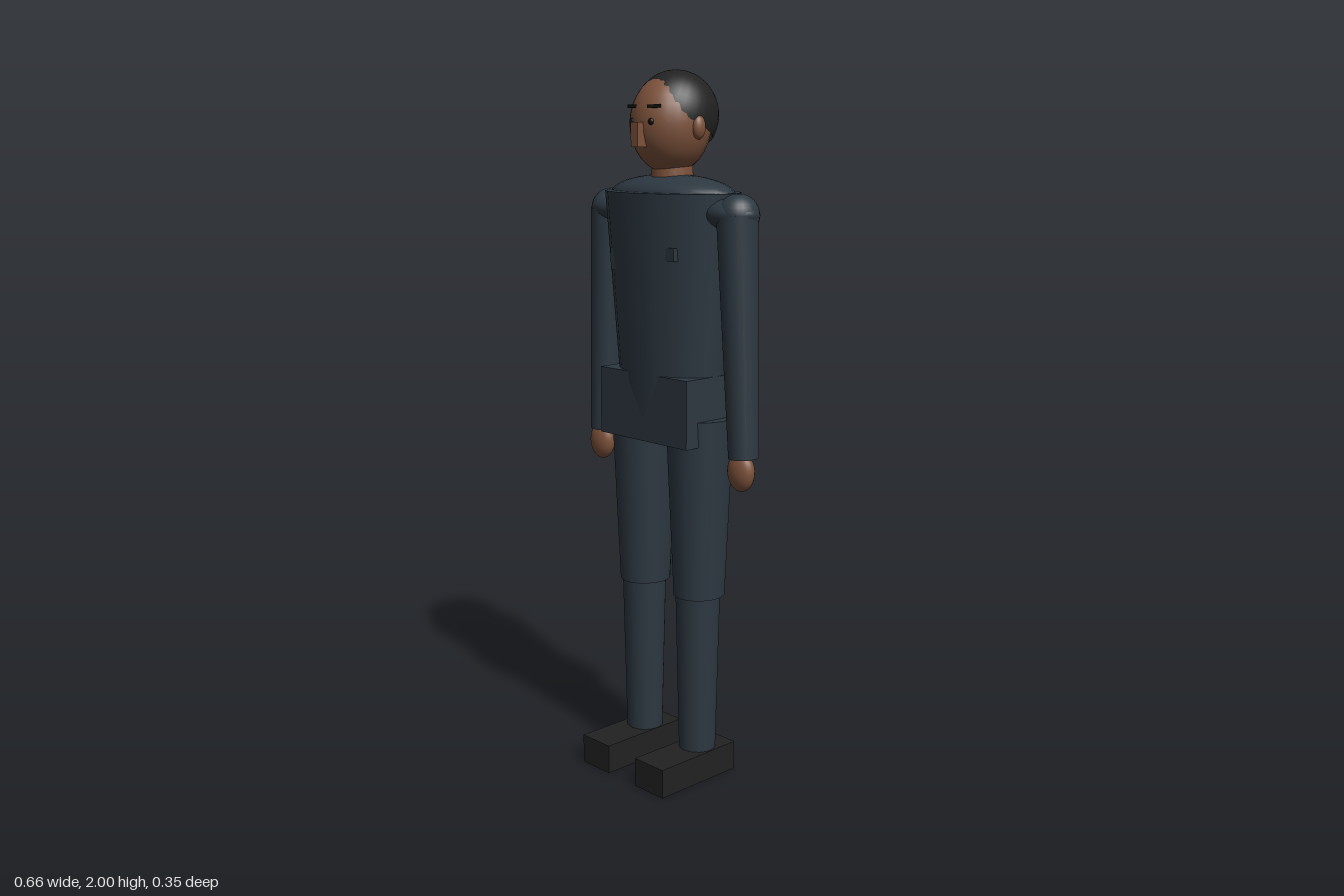
import * as THREE from 'three';

const material = (name, color) => {
  const m = new THREE.MeshStandardMaterial({ color });
  m.name = name;
  return m;
};

export function createModel() {
  const cloth = material('navy cloth', 0x2d3841);
  const skin = material('brown skin', 0x7d523b);
  const black = material('black hair and shoes', 0x222222);
  const ink = material('dark features', 0x141210);
  black.side = THREE.DoubleSide; // the hair cap is an open shell

  const model = new THREE.Group();
  model.name = 'standingFigure';

  const add = (name, geometry, mat, x, y, z, parent = model) => {
    const mesh = new THREE.Mesh(geometry, mat);
    mesh.name = name;
    mesh.position.set(x, y, z);
    parent.add(mesh);
    return mesh;
  };
  const box = (w, h, d) => new THREE.BoxGeometry(w, h, d);
  const ball = (rx, ry, rz) => new THREE.SphereGeometry(1, 24, 16).scale(rx, ry, rz);
  const taper = (top, bottom, height, depth = 1) =>
    new THREE.CylinderGeometry(top, bottom, height, 20).scale(1, 1, depth);

  const Z = -0.024; // body axis

  // Torso, shoulder dome and hips
  add('torso', taper(0.22, 0.165, 0.625, 0.69), cloth, 0, 1.3625, Z);
  add('shoulderDome', ball(0.217, 0.055, 0.117), cloth, 0, 1.667, Z);
  add('hips', box(0.35, 0.19, 0.227), cloth, 0, 1.085, -0.0235);

  // Chest details
  add('chestBadge', box(0.035, 0.035, 0.02), cloth, 0.115, 1.515, 0.088);
  add('chestPocket', box(0.03, 0.06, 0.02), cloth, -0.11, 1.49, 0.083);

  // Head
  add('neck', taper(0.055, 0.06, 0.1), skin, 0, 1.74, Z);
  add('head', ball(0.108, 0.134, 0.115), skin, 0, 1.856, -0.017);
  add('nose', box(0.027, 0.065, 0.045), skin, 0, 1.828, 0.094);

  // Hair: a partial sphere tipped backwards
  const cap = new THREE.SphereGeometry(0.121, 32, 16, 0, Math.PI * 2, 0, 1.81);
  cap.rotateX(-0.43).scale(0.94, 1, 1);
  add('hair', cap, black, 0, 1.879, -0.038);

  for (const s of [-1, 1]) {
    const side = s > 0 ? 'left' : 'right';

    // Face
    add(`${side}Eye`, ball(0.009, 0.009, 0.006), ink, s * 0.037, 1.862, 0.09);
    const brow = add(`${side}Eyebrow`, box(0.038, 0.009, 0.009), ink, s * 0.042, 1.902, 0.083);
    brow.rotation.y = s * 0.2;
    add(`${side}Ear`, ball(0.017, 0.032, 0.021), skin, s * 0.106, 1.847, -0.02);

    // Arm: shoulder ball, tapered sleeve and hand
    const arm = new THREE.Group();
    arm.name = `${side}Arm`;
    model.add(arm);
    add('shoulderJoint', ball(0.085, 0.042, 0.066), cloth, s * 0.225, 1.622, Z, arm);
    add('shoulder', ball(0.056, 0.057, 0.06), cloth, s * 0.252, 1.62, Z, arm);
    const sleeve = add('sleeve', taper(0.055, 0.041, 0.65, 1.06), cloth, s * 0.2685, 1.295, -0.02, arm);
    sleeve.rotation.z = s * 0.05;
    add('hand', ball(0.044, 0.055, 0.029), skin, s * 0.285, 0.934, -0.01, arm);

    // Leg: thigh, shin and shoe
    const leg = new THREE.Group();
    leg.name = `${side}Leg`;
    model.add(leg);
    add('thigh', taper(0.093, 0.071, 0.515, 1.06), cloth, s * 0.1125, 0.8025, Z, leg);
    add('shin', taper(0.064, 0.053, 0.48), cloth, s * 0.112, 0.315, -0.019, leg);
    add('shoe', box(0.113, 0.084, 0.29), black, s * 0.1135, 0.042, 0.03, leg);
  }
  return model;
}
